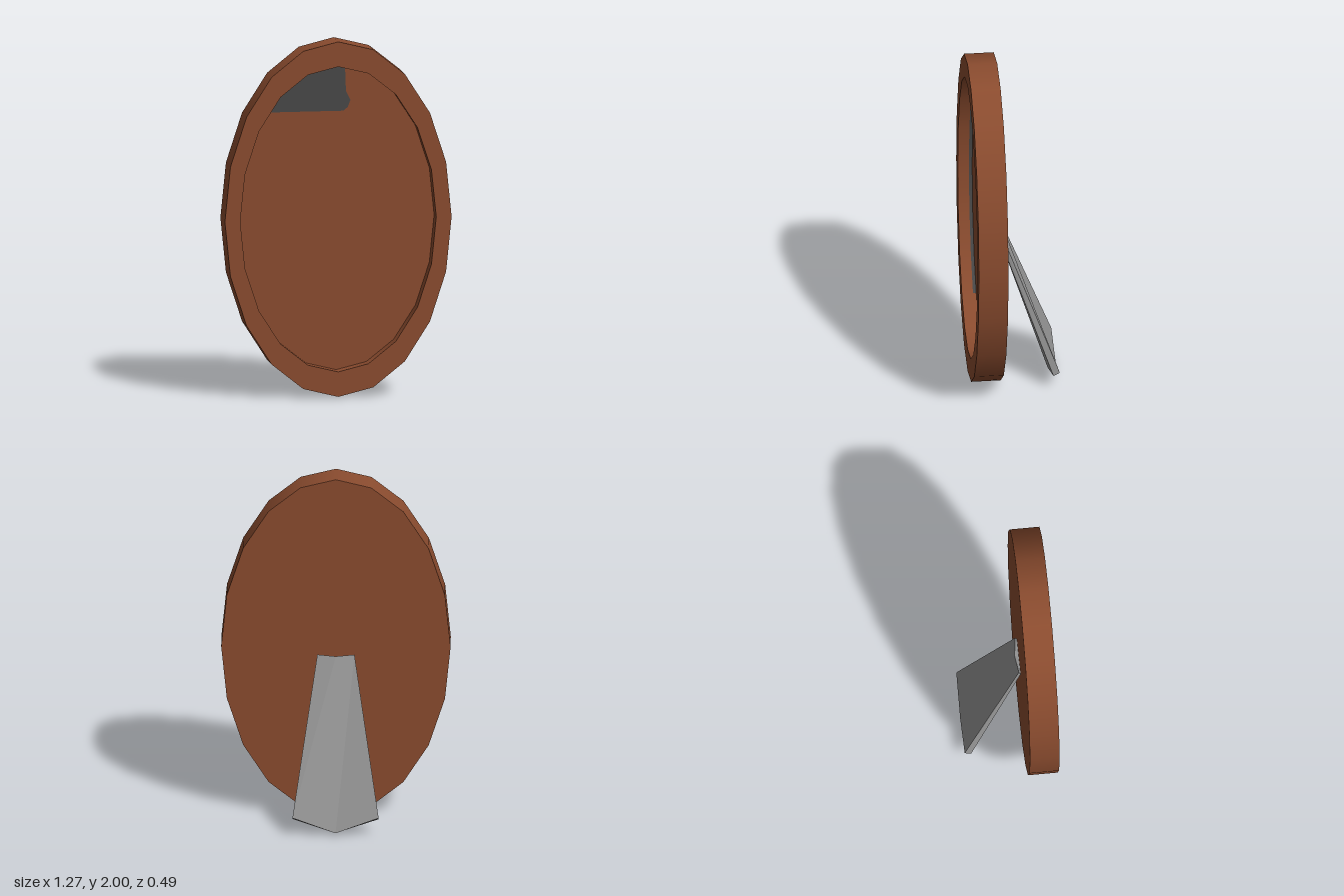
import * as THREE from 'three';

const CY = 1.003, FRONT = 0.245, BACK = 0.08, FLOOR = 0.165, N = 20;
const OUTER = [0.636, 0.997], INNER = [0.55, 0.857];

const make = (name, color, side = THREE.DoubleSide) => {
  const m = new THREE.MeshStandardMaterial({ color, side });
  m.name = name;
  return m;
};

// Corners of a 20-sided oval, starting at the top
const ovalPoints = ([rx, ry]) => Array.from({ length: N }, (_, i) => {
  const a = Math.PI / 2 + i * 2 * Math.PI / N;
  return new THREE.Vector2(Math.cos(a) * rx, CY + Math.sin(a) * ry);
});

// Open oval wall running between two depths
function wall([rx, ry], z0, z1, start = 0, segments = N) {
  const step = 2 * Math.PI / N;
  const g = new THREE.CylinderGeometry(1, 1, z1 - z0, segments, 1, true, start * step, segments * step);
  return g.rotateX(Math.PI / 2).scale(rx, ry, 1).translate(0, CY, (z0 + z1) / 2);
}

// Thin wedge-shaped leg, folded along its centre line and widening downward
function standGeometry() {
  const section = (w, backY, backZ, midY, midZ, frontY, frontZ, midFY, midFZ) => [
    [-w, backY, backZ], [0, midY, midZ], [w, backY, backZ],
    [w, frontY, frontZ], [0, midFY, midFZ], [-w, frontY, frontZ],
  ];
  const top = section(0.103, 0.96, 0.07, 0.955, 0.056, 0.93, 0.08, 0.92, 0.08);
  const bottom = section(0.239, 0.11, -0.245, 0.02, -0.247, 0.09, -0.21, 0.003, -0.2);
  const pos = [];
  const quad = (a, b, c, d) => pos.push(...a, ...b, ...c, ...a, ...c, ...d);
  for (let i = 0; i < 6; i++) {
    const j = (i + 1) % 6;
    quad(top[i], top[j], bottom[j], bottom[i]);
  }
  for (const [s, flip] of [[top, true], [bottom, false]]) {
    for (const q of [[0, 1, 4, 5], [1, 2, 3, 4]]) {
      const c = q.map((k) => s[k]);
      quad(...(flip ? c.reverse() : c));
    }
  }
  const g = new THREE.BufferGeometry();
  g.setAttribute('position', new THREE.Float32BufferAttribute(pos, 3));
  g.computeVertexNormals();
  return g;
}

export function createModel() {
  const model = new THREE.Group();
  model.name = 'ovalFrame';
  const wood = make('brown wood', 0x8b4c2f);
  const metal = make('grey metal', 0x959595);
  const dark = make('dark grey', 0x484848);
  const add = (name, geometry, material, parent = model) => {
    const mesh = new THREE.Mesh(geometry, material);
    mesh.name = name;
    parent.add(mesh);
    return mesh;
  };

  // Frame: rim face, outer edge, inner edge and flat back
  const frame = new THREE.Group();
  frame.name = 'frame';
  model.add(frame);
  const rim = new THREE.Shape(ovalPoints(OUTER));
  rim.holes.push(new THREE.Path(ovalPoints(INNER)));
  add('rimFace', new THREE.ShapeGeometry(rim).translate(0, 0, FRONT), wood, frame);
  add('outerEdge', wall(OUTER, BACK, FRONT), wood, frame);
  add('innerEdge', wall(INNER, FLOOR, FRONT), wood, frame);
  const back = new THREE.ShapeGeometry(new THREE.Shape(ovalPoints(OUTER)));
  add('backPanel', back.rotateY(Math.PI).translate(0, 0, BACK), wood, frame);

  // Recessed panel with a dark patch at its upper edge
  const panel = new THREE.Shape(ovalPoints(INNER));
  add('recessedPanel', new THREE.ShapeGeometry(panel).translate(0, 0, FLOOR), wood);
  const rimPoints = ovalPoints(INNER).slice(0, 4);
  const patch = new THREE.Shape([
    ...rimPoints.slice(0, 3), new THREE.Vector2(-0.385, 1.6),
    new THREE.Vector2(0.04, 1.6), new THREE.Vector2(0.065, 1.62),
    new THREE.Vector2(0.08, 1.66), new THREE.Vector2(0.055, 1.71),
    new THREE.Vector2(0.05, 1.845),
  ]);
  add('darkPatch', new THREE.ShapeGeometry(patch).translate(0, 0, FLOOR + 0.003), dark);

  // Narrow dark seam along one side of the recess
  add('darkSeam', wall([INNER[0] - 0.002, INNER[1] - 0.002], FLOOR, FLOOR + 0.018, 13, 5), dark);

  // Rear leg
  add('stand', standGeometry(), metal);
  return model;
}
